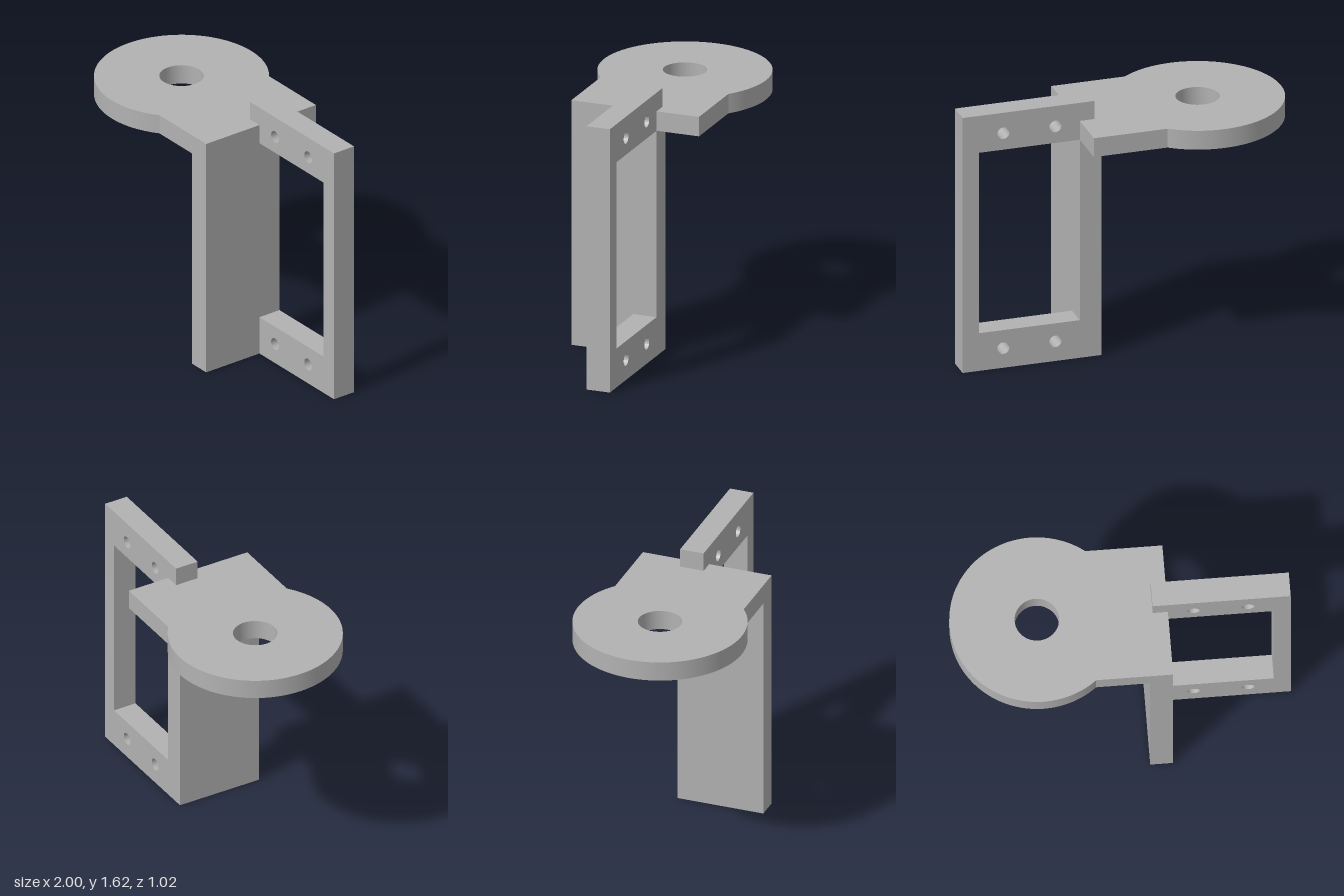
import * as THREE from 'three';
import { toCreasedNormals } from 'three/addons/utils/BufferGeometryUtils.js';

export function createModel() {
  const group = new THREE.Group();
  group.name = 'mountingBracket';
  const grey = new THREE.MeshStandardMaterial({ color: 0xb2b2b2 });
  grey.name = 'plain grey';

  const addPart = (name, geometry) => {
    const mesh = new THREE.Mesh(geometry, grey);
    mesh.name = name;
    group.add(mesh);
    return mesh;
  };
  const drill = (shape, x, y, r) => {
    shape.holes.push(new THREE.Path().absarc(x, y, r, 0, Math.PI * 2, true));
  };
  const extrude = (shape, depth, curveSegments) => toCreasedNormals(
    new THREE.ExtrudeGeometry(shape, { depth, bevelEnabled: false, curveSegments }), 0.5);

  // Upright C-shaped frame with four screw holes
  const frame = new THREE.Shape([
    [0.28, 0], [1, 0], [1, 1.625], [0.19, 1.625],
    [0.19, 1.39], [0.9, 1.39], [0.9, 0.24], [0.28, 0.24],
  ].map(([x, y]) => new THREE.Vector2(x, y)));
  for (const x of [0.43, 0.75]) {
    for (const y of [0.125, 1.495]) drill(frame, x, y, 0.037);
  }
  addPart('screwFrame', extrude(frame, 0.147, 32)).position.z = -0.135;

  // Deep side wall that closes the frame and carries the plate
  const wall = new THREE.BoxGeometry(0.135, 1.39, 0.538);
  wall.translate(0.2125, 0.695, 0.134);
  addPart('sideWall', wall);

  // Horizontal round plate with a square tab and a central bore
  const cx = -0.488, radius = 0.512, halfTab = 0.403;
  const angle = Math.asin(halfTab / radius);
  const plate = new THREE.Shape();
  plate.moveTo(0.28, -halfTab);
  plate.lineTo(0.28, halfTab);
  plate.absarc(cx, 0, radius, angle, Math.PI * 2 - angle, false);
  plate.closePath();
  drill(plate, cx, 0, 0.13);
  const plateGeometry = extrude(plate, 0.12, 64);
  plateGeometry.rotateX(-Math.PI / 2);
  addPart('roundPlate', plateGeometry).position.y = 1.39;

  return group;
}
